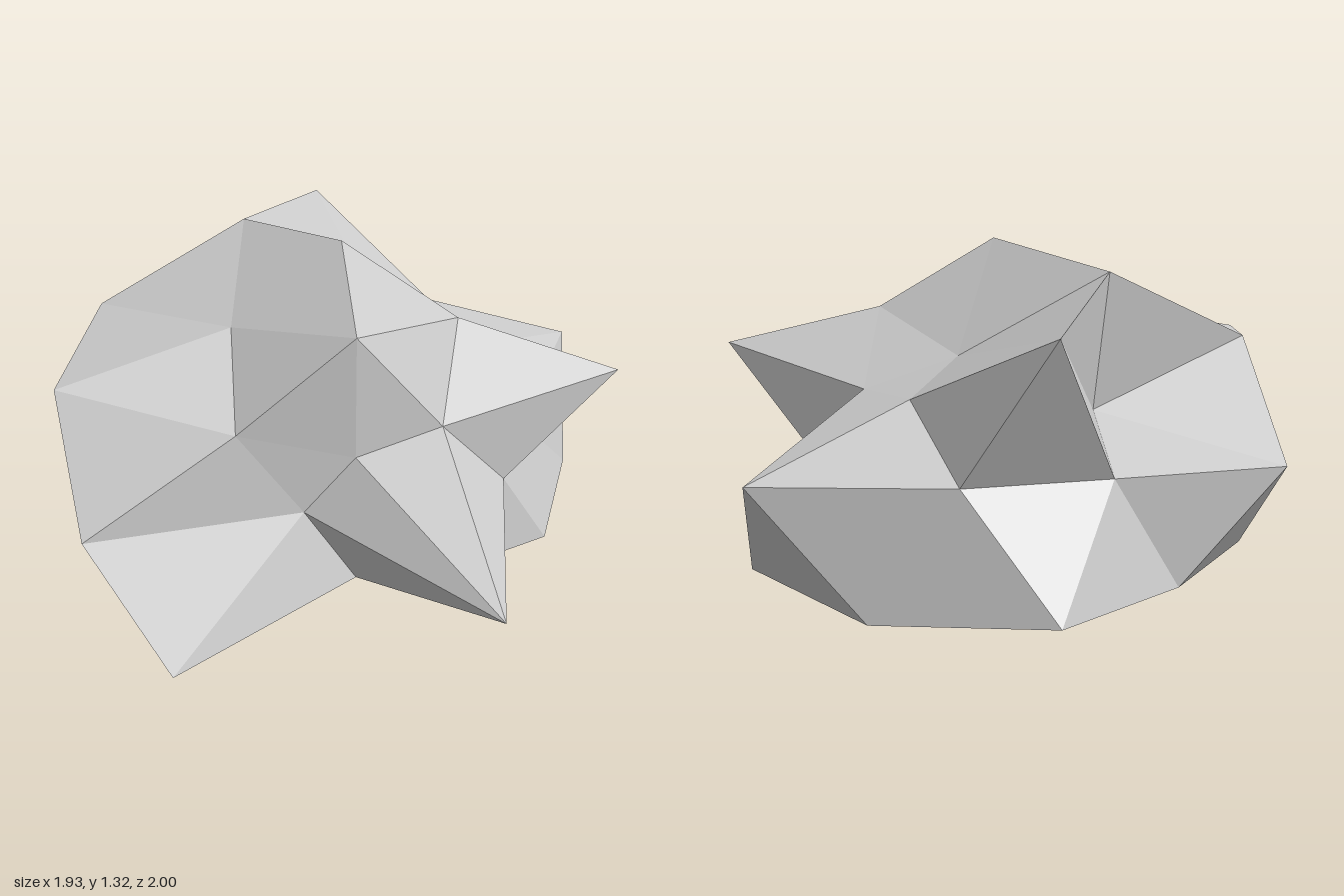
import * as THREE from 'three';

// Rings of a once-subdivided upright icosahedron: elevation (deg), first azimuth (deg), radius of each corner
const RINGS = {
  top: [90, 0, [0.96]],
  crown: [58.283, 0, [0.755, 0.98, 0.75, 0.98, 0.535]],
  upper: [26.565, 0, [1.045, 0.565, 1.12, 0.5, 0.704]],
  upperMid: [31.717, 36, [0.588, 0.766, 1.0, 1.19, 0.581]],
  equator: [0, 18, [0.63, 1.238, 0.545, 1.088, 0.58, 1.05, 0.775, 0.862, 1.123, 0.63]],
  lower: [-26.565, 36, [0.71, 1.165, 0.95, 1.175, 1.01]],
  lowerMid: [-31.717, 0, [0.858, 0.634, 0.51, 0.953, 1.085]],
  base: [-58.283, 36, [0.62, 0.58, 0.58, 0.54, 0.815]],
  bottom: [-90, 0, [0.8]],
};
const SQUASH = 0.75, CENTRE_X = 0.03, CENTRE_Y = 0.6;

// Turns one ring into a lookup that wraps around
function ring([elevation, start, radii]) {
  const el = THREE.MathUtils.degToRad(elevation), n = radii.length;
  const points = radii.map((r, i) => {
    const az = THREE.MathUtils.degToRad(start + (360 / n) * i);
    return [
      CENTRE_X + r * Math.cos(el) * Math.cos(az),
      CENTRE_Y + r * Math.sin(el) * SQUASH,
      r * Math.cos(el) * Math.sin(az),
    ];
  });
  return (i) => points[(i + n) % n];
}

function rockGeometry() {
  const [P, A, U, M, E, L, N, B, Q] = Object.values(RINGS).map(ring);
  const positions = [];
  const tri = (...corners) => corners.forEach((c) => positions.push(...c));
  for (let k = 0; k < 5; k++) {
    const n = k + 1, e = 2 * k;
    // crown
    tri(P(0), A(n), A(k));
    tri(A(k), M(k), U(k));
    tri(A(k), A(n), M(k));
    tri(A(n), U(n), M(k));
    // band above the equator
    tri(U(k), E(e), E(e - 1));
    tri(U(k), M(k), E(e));
    tri(M(k), E(e + 1), E(e));
    tri(M(k), U(n), E(e + 1));
    // band below the equator
    tri(E(e), E(e + 1), L(k));
    tri(E(e + 1), N(n), L(k));
    tri(E(e + 1), E(e + 2), N(n));
    tri(E(e + 2), L(n), N(n));
    // underside
    tri(L(k), N(n), B(k));
    tri(N(n), B(n), B(k));
    tri(N(n), L(n), B(n));
    tri(B(k), B(n), Q(0));
  }
  const geometry = new THREE.BufferGeometry();
  geometry.setAttribute('position', new THREE.Float32BufferAttribute(positions, 3));
  geometry.computeVertexNormals(); // unshared corners give flat facets
  return geometry;
}

export function createModel() {
  const stone = new THREE.MeshStandardMaterial({ color: 0xcccccc });
  stone.name = 'light stone grey';
  const rock = new THREE.Mesh(rockGeometry(), stone);
  rock.name = 'rock';
  const model = new THREE.Group();
  model.name = 'jaggedRock';
  model.add(rock);
  return model;
}
